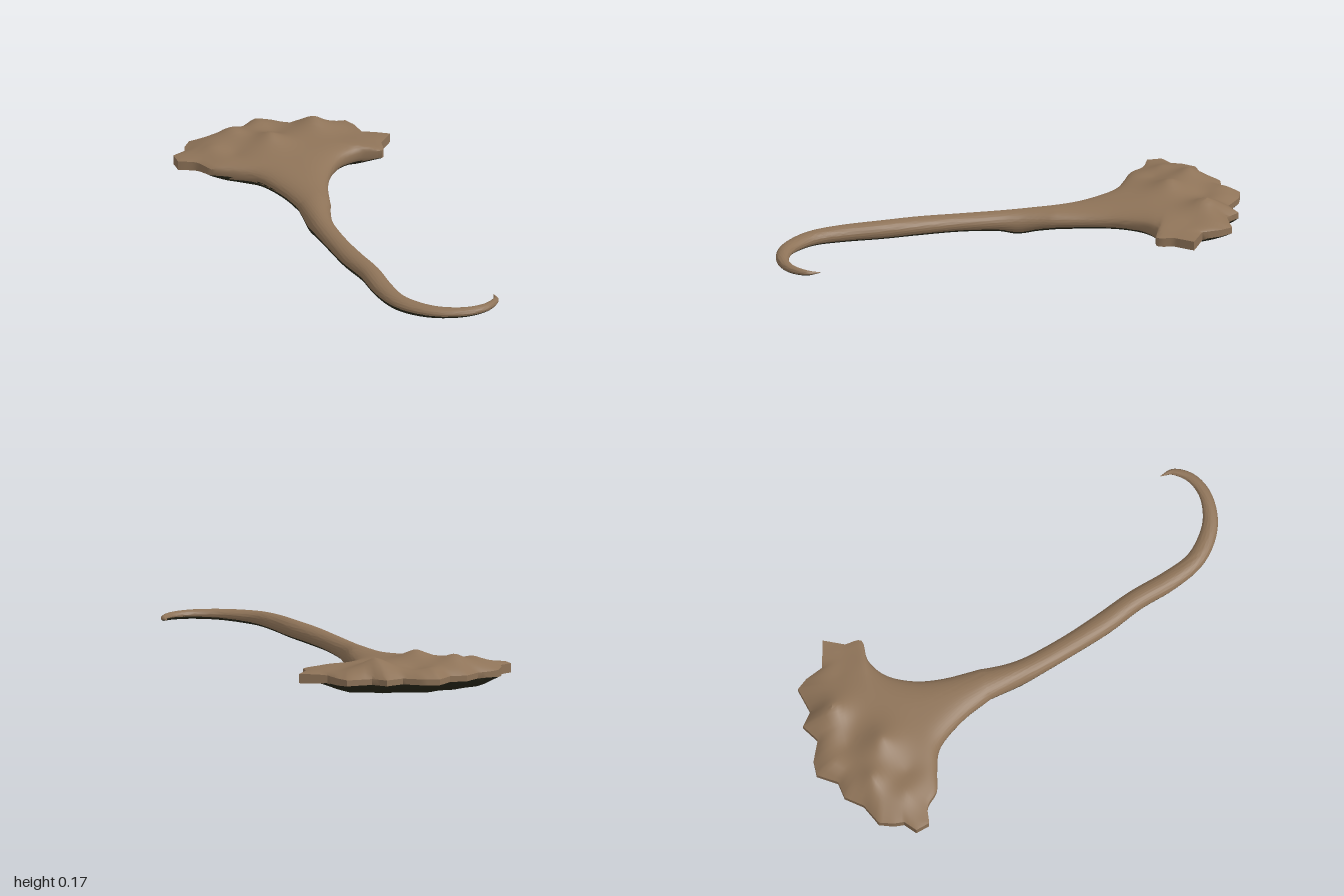
import * as THREE from 'three';
import { mergeVertices, toCreasedNormals } from 'three/addons/utils/BufferGeometryUtils.js';

const COLS = 64;
const { lerp, smoothstep } = THREE.MathUtils;
const curve = (pts) => new THREE.CatmullRomCurve3(pts.map((p) => new THREE.Vector3(...p)), false, 'catmullrom', 0.5);

// Stem from the hooked tip to the neck: x, z, half width | middle y, half height
const STEM = [
  [0.383, 0.855, 0.001, 0.09, 0.001], [0.372, 0.912, 0.013, 0.09, 0.011], [0.31, 0.962, 0.02, 0.089, 0.016],
  [0.22, 0.973, 0.025, 0.088, 0.019], [0.12, 0.938, 0.031, 0.086, 0.022], [0.045, 0.87, 0.036, 0.084, 0.026],
  [-0.005, 0.78, 0.038, 0.083, 0.03], [-0.024, 0.65, 0.042, 0.082, 0.034], [-0.028, 0.5, 0.043, 0.081, 0.037],
  [-0.048, 0.34, 0.046, 0.075, 0.037], [-0.058, 0.18, 0.044, 0.069, 0.036], [-0.06, 0.02, 0.046, 0.061, 0.04],
  [-0.054, -0.07, 0.051, 0.053, 0.05], [-0.043, -0.15, 0.059, 0.06, 0.047], [-0.03, -0.22, 0.069, 0.066, 0.045],
];

// Left and right edges of the spreading crown: x, backward bulge of the row, z
const LEFT = [[-0.099, 0, -0.22], [-0.123, 0, -0.36], [-0.18, 0.005, -0.5], [-0.265, 0.02, -0.565],
  [-0.34, 0.06, -0.61], [-0.38, 0.1, -0.675], [-0.44, 0.15, -0.705]];
const RIGHT = [[0.039, 0, -0.22], [0.073, 0, -0.35], [0.12, 0, -0.455], [0.195, 0, -0.54],
  [0.285, 0, -0.572], [0.37, 0, -0.553], [0.39, 0, -0.62]];

// Ragged back rim of the crown: x, z
const RIM = [[-0.45, -0.71], [-0.45, -0.77], [-0.395, -0.795], [-0.38, -0.835], [-0.345, -0.885], [-0.25, -0.9],
  [-0.18, -0.95], [-0.11, -0.94], [-0.04, -1], [0.02, -0.98], [0.09, -0.92], [0.17, -0.943], [0.21, -0.885],
  [0.32, -0.88], [0.34, -0.83], [0.35, -0.75], [0.45, -0.69]];

// Knobs and hollows on the crown: x, z, height, radius
const KNOBS = [[-0.055, -0.71, 0.048, 0.08], [-0.18, -0.82, 0.036, 0.06], [0.165, -0.81, 0.046, 0.07],
  [-0.3, -0.73, 0.02, 0.06], [-0.04, -0.94, 0.02, 0.07], [0, -0.83, -0.022, 0.08], [0.28, -0.72, -0.012, 0.07],
  [-0.22, -0.68, -0.012, 0.06]];

// Direction the dark underside faces: down and slightly to the model's right
const UNDER = new THREE.Vector3(-0.3, -1, 0).normalize();

function crownTop(x, z) {
  let y = 0.111 + 0.02 * smoothstep(-z, 0.25, 0.62);
  for (const [kx, kz, h, r] of KNOBS) y += h * Math.exp(-Math.pow(Math.hypot(x - kx, z - kz) / r, 1.5));
  return y - 0.02 * smoothstep(Math.abs(x), 0.25, 0.45);
}

function crownBottom(x, z) {
  return 0.021 + 0.004 * smoothstep(-z, 0.3, 0.6) + 0.042 * smoothstep(Math.abs(x), 0.26, 0.43);
}

function rimPoint(s) {
  const t = s * (RIM.length - 1), i = Math.min(Math.floor(t), RIM.length - 2);
  return [lerp(RIM[i][0], RIM[i + 1][0], t - i), lerp(RIM[i][1], RIM[i + 1][1], t - i)];
}

// One closed ring: top edge left to right, then bottom edge right to left
function ring(fn) {
  const top = [], bottom = [];
  for (let j = 0; j <= COLS; j++) {
    const [x, z, yt, yb] = fn(j / COLS);
    top.push([x, yt, z]);
    bottom.unshift([x, yb, z]);
  }
  return [...top, ...bottom];
}

function stemRings() {
  const path = curve(STEM.map(([x, z, w]) => [x, w, z]));
  const body = curve(STEM.map(([, , , y, h]) => [y, h, 0]));
  const rings = [], n = 84;
  for (let i = 0; i < n; i++) {
    const t = i / n, p = path.getPoint(t), b = body.getPoint(t), d = path.getTangent(t);
    const len = Math.hypot(d.x, d.z);
    rings.push(ring((s) => {
      const u = -Math.cos(Math.PI * s) * p.y, e = Math.sin(Math.PI * s) * b.y;
      return [p.x - d.z / len * u, p.z + d.x / len * u, b.x + e, b.x - e];
    }));
  }
  return rings;
}

function crownRings() {
  const left = curve(LEFT), right = curve(RIGHT), rings = [];
  // t runs along the crown edges, f runs from the last edge row out to the rim
  const add = (t, f) => {
    const L = left.getPoint(t), R = right.getPoint(t), k = smoothstep(t, 0, 0.8);
    rings.push(ring((s) => {
      const u = lerp(-Math.cos(Math.PI * s), 2 * s - 1, k), v = (u + 1) / 2;
      const [rx, rz] = rimPoint(s);
      const x = lerp(lerp(L.x, R.x, v), rx, f);
      const z = lerp(lerp(L.z, R.z, v) - L.y * (1 - u * u), rz, f);
      const e = Math.sqrt(Math.max(0, 1 - Math.pow(Math.abs(u), 2 + 2 * k))) * (1 - Math.pow(f, 3));
      // The edge is thick at the two side prongs and thin elsewhere
      const mid = lerp(0.066, 0.085, k);
      const edge = k * lerp(0.012, 0.019, smoothstep(Math.abs(x), 0.3, 0.4));
      return [x, z, lerp(mid + edge, crownTop(x, z), e), lerp(mid - edge, crownBottom(x, z), e)];
    }));
  };
  for (let i = 0; i <= 24; i++) add(i / 24, 0);
  for (const f of [0.15, 0.3, 0.45, 0.6, 0.75, 0.88, 1]) add(1, f);
  return rings;
}

// Skin the rings, close the rim, and sort the faces into bark and underside
function loft(rings) {
  const n = rings[0].length, points = rings.flat().map((p) => new THREE.Vector3(...p));
  const bark = [], under = [], face = new THREE.Triangle(), normal = new THREE.Vector3();
  const add = (a, b, c) => {
    face.set(points[a], points[b], points[c]).getNormal(normal);
    (normal.dot(UNDER) > 0.4 ? under : bark).push(a, b, c);
  };
  for (let i = 0; i < rings.length - 1; i++) {
    for (let j = 0; j < n; j++) {
      const a = i * n + j, b = i * n + (j + 1) % n;
      add(a, b, a + n);
      add(b, b + n, a + n);
    }
  }
  const last = (rings.length - 1) * n;
  for (let j = 0; j < COLS; j++) {
    const a = last + j, c = last + n - 1 - j;
    add(a, a + 1, c);
    add(a + 1, c - 1, c);
  }
  const g = new THREE.BufferGeometry().setFromPoints(points);
  g.setIndex([...bark, ...under]);
  g.addGroup(0, bark.length, 0);
  g.addGroup(bark.length, under.length, 1);
  return toCreasedNormals(mergeVertices(g, 1e-5), 0.7);
}

function material(name, color) {
  const m = new THREE.MeshStandardMaterial({ color });
  m.name = name;
  return m;
}

export function createModel() {
  const group = new THREE.Group();
  group.name = 'hookedBranch';
  const materials = [material('brown bark', 0x8e7358), material('dark underside', 0x29281a)];
  const mesh = new THREE.Mesh(loft([...stemRings(), ...crownRings()]), materials);
  mesh.name = 'stemAndCrown';
  group.add(mesh);
  return group;
}
